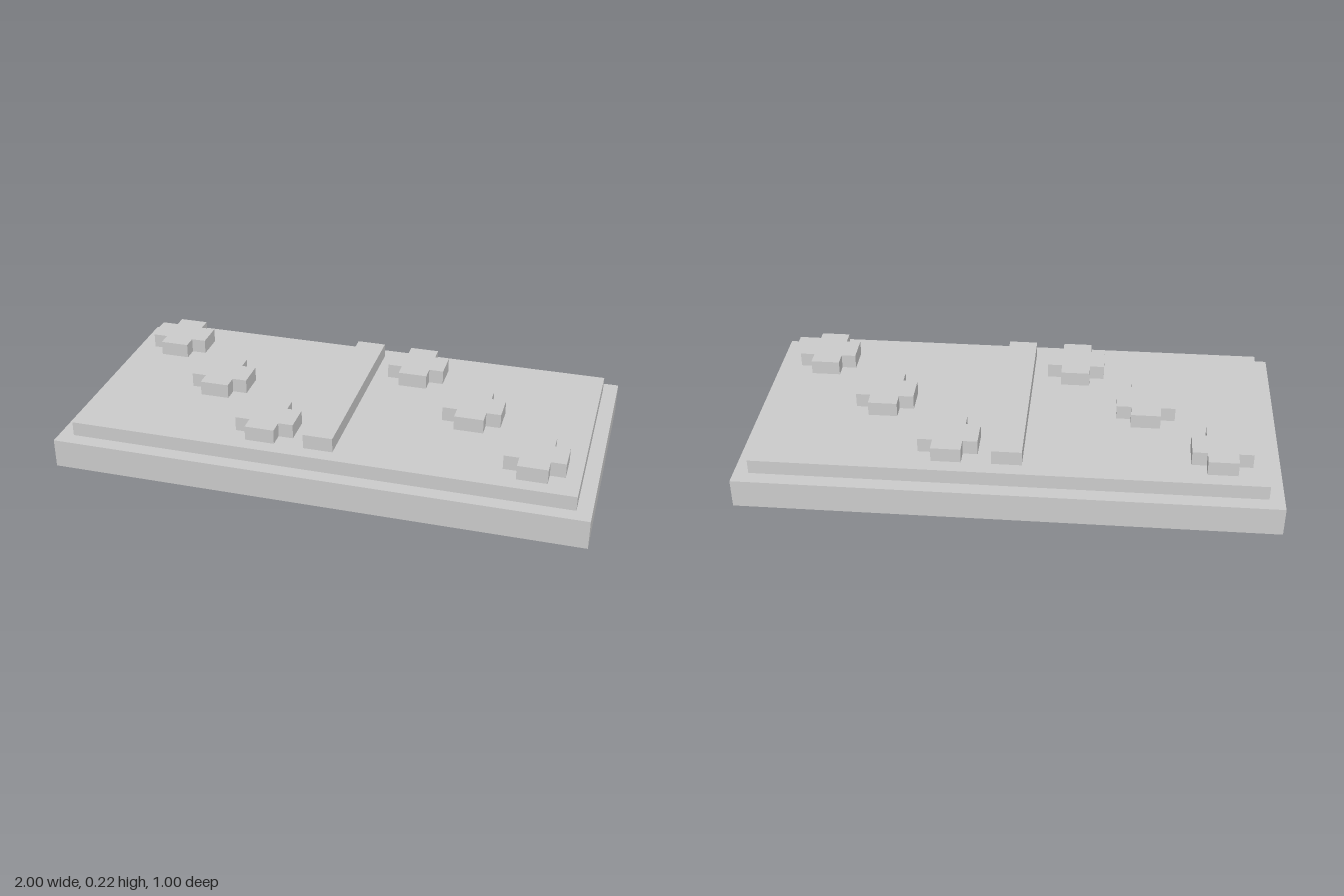
import * as THREE from 'three';

const U = 1 / 18; // modelling unit: the slab is 36 x 18 units

export function createModel() {
  const group = new THREE.Group();
  const material = new THREE.MeshStandardMaterial({ color: 0xcccccc, flatShading: true });

  const add = (name, geometry, x, y, z) => {
    const mesh = new THREE.Mesh(geometry, material);
    mesh.name = name;
    mesh.position.set(x * U, y * U, z * U);
    group.add(mesh);
  };
  const box = (w, h, d) => new THREE.BoxGeometry(w * U, h * U, d * U);

  // Stepped slab and the raised divider bar
  add('base', box(36, 2, 18), 0, 1, 0);
  add('upperPlate', box(34, 1, 16), 0, 2.5, 0);
  add('dividerBar', box(2, 1, 14), 0, 3.5, 0);

  // Plus-shaped stud: one corner of the outline, turned four times
  const corner = [[2, -1], [2, 1], [1, 1]];
  const outline = [];
  for (let i = 0; i < 4; i++) {
    for (const [x, y] of corner) {
      outline.push(new THREE.Vector2(x * U, y * U).rotateAround(new THREE.Vector2(), i * Math.PI / 2));
    }
  }
  const stud = new THREE.ExtrudeGeometry(new THREE.Shape(outline), { depth: U, bevelEnabled: false });
  stud.rotateX(-Math.PI / 2);

  // A diagonal row of three studs on each side of the bar
  for (const [side, centre] of [['right', -9], ['left', 9]]) {
    for (let i = -1; i <= 1; i++) add(`${side}Stud${i + 2}`, stud, centre + 5 * i, 3, 5 * i);
  }
  return group;
}
